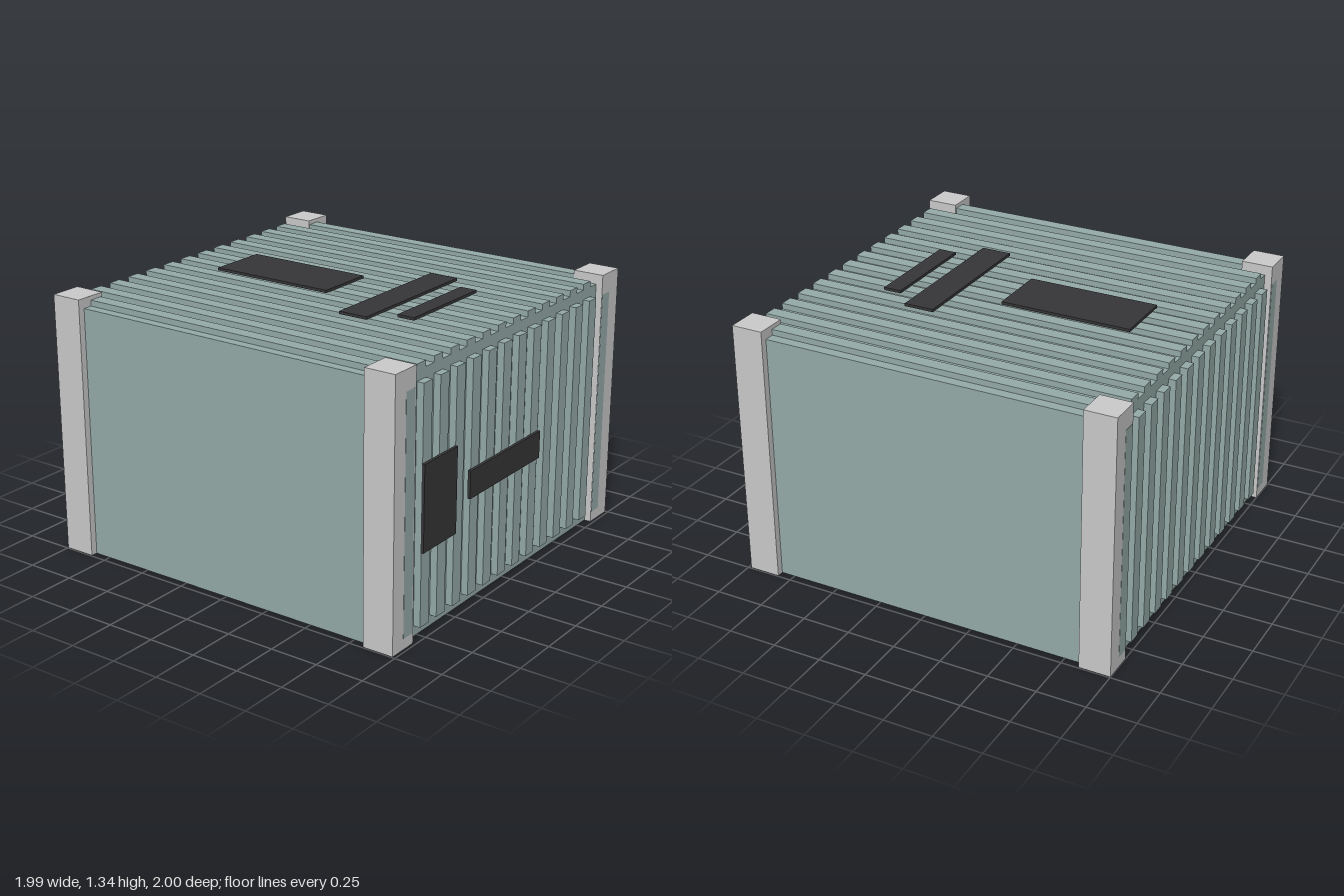
import * as THREE from 'three';

const paint = new THREE.MeshStandardMaterial({ color: 0x96aca9 });
const grey = new THREE.MeshStandardMaterial({ color: 0xcccccc });
const dark = new THREE.MeshStandardMaterial({ color: 0x363638 });

// Box given by its extents along each axis
function addBox(parent, name, material, [x0, x1], [y0, y1], [z0, z1]) {
  const mesh = new THREE.Mesh(new THREE.BoxGeometry(x1 - x0, y1 - y0, z1 - z0), material);
  mesh.position.set((x0 + x1) / 2, (y0 + y1) / 2, (z0 + z1) / 2);
  mesh.name = name;
  parent.add(mesh);
}

function addGroup(parent, name) {
  const group = new THREE.Group();
  group.name = name;
  parent.add(group);
  return group;
}

export function createModel() {
  const model = new THREE.Group();
  model.name = 'cargoContainer';
  const backZ = -1, frontZ = 0.985, bodyBack = -0.963, bodyFront = 0.95;

  // Main body
  addBox(model, 'body', paint, [-0.96, 0.96], [0, 1.285], [bodyBack, bodyFront]);

  // Corner posts
  const posts = addGroup(model, 'cornerPosts');
  for (const x of [[-0.995, -0.833], [0.833, 0.995]]) {
    addBox(posts, 'cornerPost', grey, x, [0, 1.336], [backZ, backZ + 0.162]);
    addBox(posts, 'cornerPost', grey, x, [0, 1.336], [frontZ - 0.162, frontZ]);
  }

  // Ribs on the roof and both ends; the outermost end ribs sit flush with the posts
  const ribs = addGroup(model, 'ribs');
  const count = 14, pitch = 0.1345, half = 0.035;
  for (let i = 0; i < count; i++) {
    const cx = (i - (count - 1) / 2) * pitch - 0.002;
    const x = [cx - half, cx + half];
    addBox(ribs, 'roofRib', paint, x, [1.27, 1.315], [bodyBack, bodyFront]);
    addBox(ribs, 'frontRib', paint, x, [0.055, 1.235], [bodyFront - 0.02, frontZ + 0.001]);
    addBox(ribs, 'backRib', paint, x, [0.055, 1.235], [backZ - 0.001, bodyBack + 0.02]);
  }

  // Dark panels on the front
  const panels = addGroup(model, 'panels');
  addBox(panels, 'frontPlate', dark, [-0.78, -0.51], [0.43, 0.86], [frontZ, 1]);
  addBox(panels, 'frontStrip', dark, [-0.395, 0.235], [0.56, 0.7], [frontZ, 1]);

  // Dark panels on the roof
  addBox(panels, 'roofPlate', dark, [-0.158, 0.156], [1.315, 1.329], [-0.67, 0.008]);
  addBox(panels, 'roofLongStrip', dark, [-0.393, 0.391], [1.315, 1.329], [0.255, 0.41]);
  addBox(panels, 'roofShortStrip', dark, [-0.275, 0.273], [1.315, 1.329], [0.505, 0.597]);

  return model;
}
